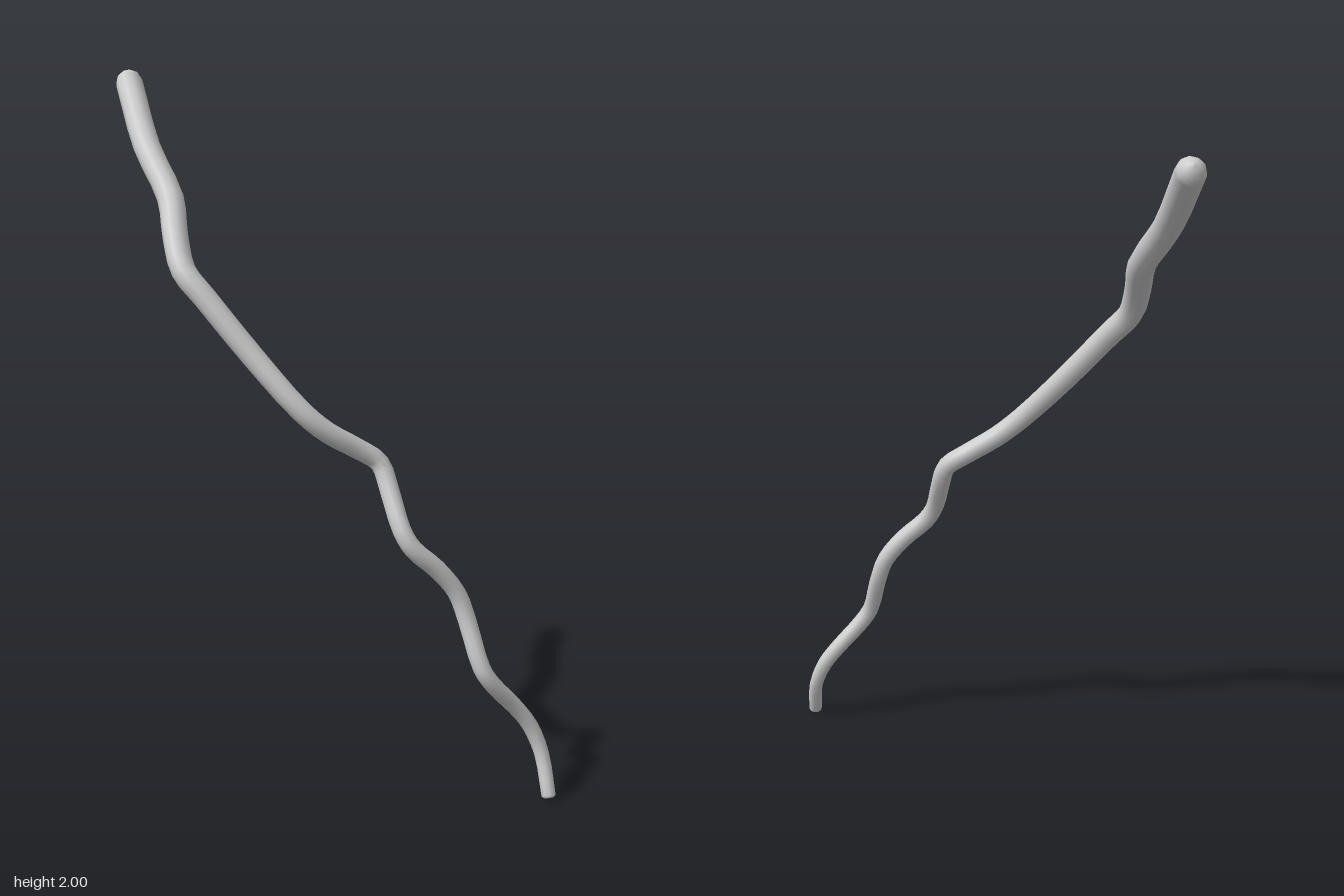
import * as THREE from 'three';

// Centre line from thick top to thin tip: x, y, z, radius
const SPINE = [
  [-0.685, 1.96, 0.02, 0.04], [-0.5, 1.78, 0.12, 0.039], [-0.345, 1.64, 0.172, 0.038],
  [-0.258, 1.54, 0.235, 0.036], [-0.19, 1.45, 0.268, 0.035], [-0.125, 1.38, 0.25, 0.034],
  [0, 1.23, 0.197, 0.033], [0.135, 1.08, 0.138, 0.031], [0.185, 1.02, 0.085, 0.03],
  [0.23, 0.97, 0.01, 0.029], [0.268, 0.93, -0.035, 0.028], [0.307, 0.86, -0.032, 0.028],
  [0.37, 0.76, -0.012, 0.027], [0.4, 0.71, -0.025, 0.027], [0.44, 0.65, -0.08, 0.027],
  [0.475, 0.58, -0.125, 0.026], [0.505, 0.5, -0.137, 0.026], [0.56, 0.38, -0.133, 0.025],
  [0.58, 0.33, -0.16, 0.025], [0.605, 0.26, -0.225, 0.024], [0.63, 0.2, -0.265, 0.023],
  [0.66, 0.12, -0.283, 0.021], [0.7, 0.01, -0.266, 0.02],
];
const SIDES = 10, STEPS = 3;

export function createModel() {
  const curve = new THREE.CatmullRomCurve3(SPINE.map(([x, y, z]) => new THREE.Vector3(x, y, z)));
  const rings = []; // { center, tangent, radius }
  const addRing = (center, tangent, radius) => rings.push({ center, tangent, radius });

  // Domed top end
  const start = curve.getPoint(0), t0 = curve.getTangent(0), r0 = SPINE[0][3];
  for (let k = 0; k < 4; k++) {
    const a = (k / 4) * Math.PI / 2;
    addRing(start.clone().addScaledVector(t0, -r0 * Math.cos(a)), t0, r0 * Math.sin(a));
  }
  // Tapering body
  const count = (SPINE.length - 1) * STEPS;
  for (let i = 0; i <= count; i++) {
    const j = Math.min(Math.floor(i / STEPS), SPINE.length - 2);
    const r = THREE.MathUtils.lerp(SPINE[j][3], SPINE[j + 1][3], i / STEPS - j);
    addRing(curve.getPoint(i / count), curve.getTangent(i / count), r);
  }
  // Blunt, slightly rounded tip
  const end = curve.getPoint(1), t1 = curve.getTangent(1);
  addRing(end.clone().addScaledVector(t1, 0.006), t1, 0.013);
  addRing(end.clone().addScaledVector(t1, 0.007), t1, 0);

  // Skin the rings, carrying the side direction along so the tube does not twist
  const positions = [], index = [];
  const side = new THREE.Vector3(0, 0, 1);
  rings.forEach(({ center, tangent, radius }, i) => {
    side.addScaledVector(tangent, -side.dot(tangent)).normalize();
    const up = new THREE.Vector3().crossVectors(tangent, side);
    for (let s = 0; s < SIDES; s++) {
      const a = (s / SIDES) * Math.PI * 2;
      const p = center.clone()
        .addScaledVector(side, Math.cos(a) * radius)
        .addScaledVector(up, Math.sin(a) * radius);
      positions.push(p.x, p.y, p.z);
      if (i === 0) continue;
      const n = (s + 1) % SIDES, b = i * SIDES, c = b - SIDES;
      if (i > 1) index.push(c + s, c + n, b + s);
      if (i < rings.length - 1) index.push(c + n, b + n, b + s);
    }
  });
  const geometry = new THREE.BufferGeometry();
  geometry.setAttribute('position', new THREE.Float32BufferAttribute(positions, 3));
  geometry.setIndex(index);
  geometry.computeVertexNormals();

  const stick = new THREE.Mesh(geometry, new THREE.MeshStandardMaterial({ color: 0xcccccc }));
  stick.name = 'crookedStick';
  const group = new THREE.Group();
  group.name = 'stick';
  group.add(stick);
  return group;
}
